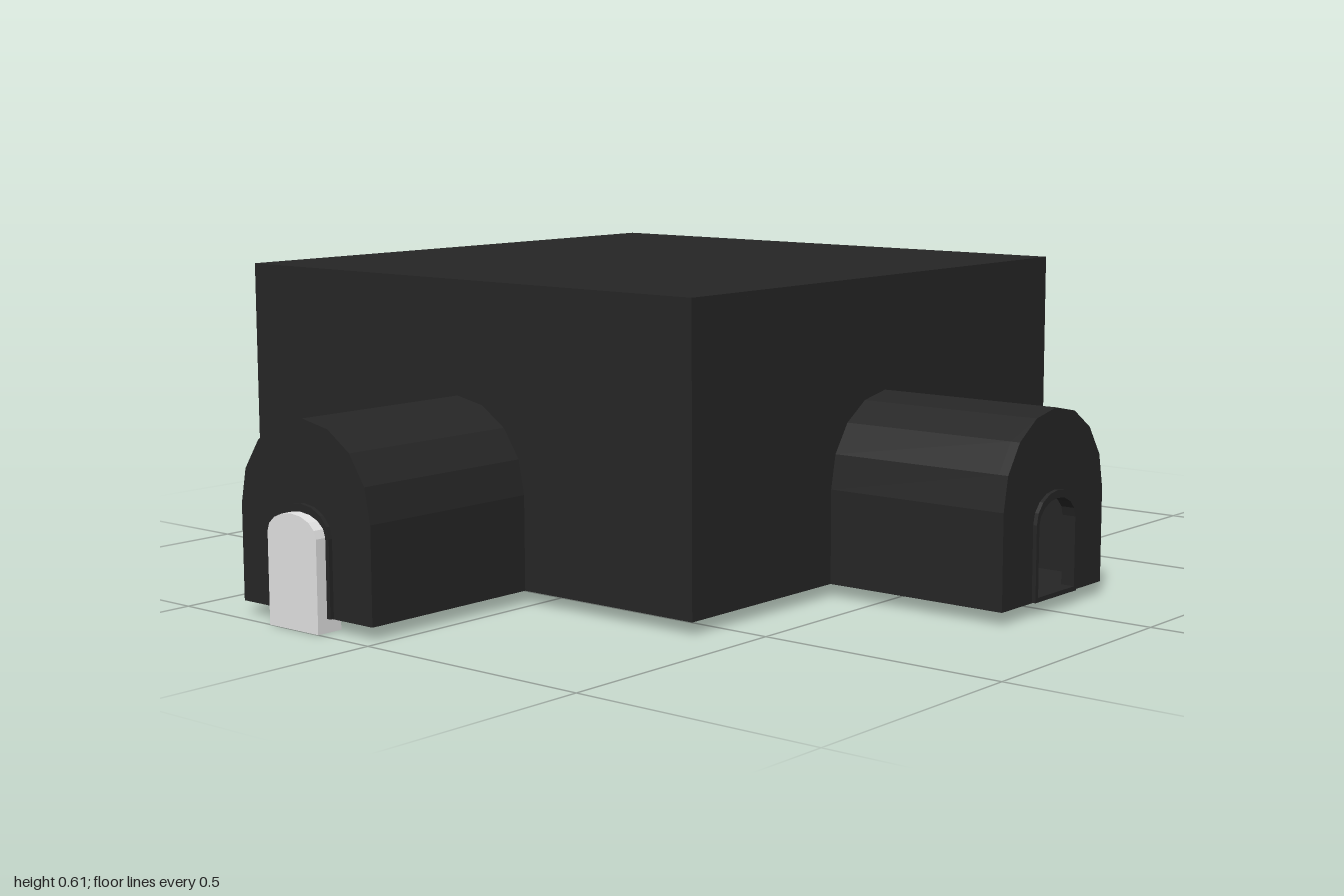
import * as THREE from 'three';

const dark = new THREE.MeshStandardMaterial({ color: 0x262626 });
dark.name = 'charcoal';
const pale = new THREE.MeshStandardMaterial({ color: 0xe2e2e2 });
pale.name = 'paleGrey';

const CX = -0.195, CZ = -0.01;           // room centre
const HALF = 0.59, BASE = 0.025, HEIGHT = 0.585, T = 0.01;
const LENGTH = 0.39;                     // tunnel length

// Straight-sided arch outline: half width, foot, springing height, rise of the curve
function archPoints(w, foot, spring, rise, segments = 8) {
  const pts = [new THREE.Vector2(-w, foot), new THREE.Vector2(w, foot)];
  for (let i = 0; i <= segments; i++) {
    const a = (Math.PI * i) / segments;
    pts.push(new THREE.Vector2(w * Math.cos(a), spring + rise * Math.sin(a)));
  }
  return pts;
}

const tunnelOuter = archPoints(0.175, 0, 0.185, 0.175);
const tunnelInner = archPoints(0.165, T, 0.185, 0.165);
const frameOuter = archPoints(0.073, 0.001, 0.148, 0.057);
const doorway = archPoints(0.064, T, 0.145, 0.045);

function extrude(name, outline, hole, depth, z, material = dark) {
  const shape = new THREE.Shape(outline);
  if (hole) shape.holes.push(new THREE.Path(hole));
  const geometry = new THREE.ExtrudeGeometry(shape, { depth, bevelEnabled: false });
  const mesh = new THREE.Mesh(geometry, material);
  mesh.name = name;
  mesh.position.z = z;
  return mesh;
}

function slab(name, y) {
  const mesh = new THREE.Mesh(new THREE.BoxGeometry(2 * HALF, T, 2 * HALF), dark);
  mesh.name = name;
  mesh.position.y = y + T / 2;
  return mesh;
}

// One wall, facing local +z, with an arched opening when a tunnel joins it
function wall(name, angle, open) {
  const h = Math.abs(Math.sin(angle)) > 0.5 ? HALF - T : HALF;
  const outline = [[-h, T], [h, T], [h, HEIGHT - T], [-h, HEIGHT - T]]
    .map(([x, y]) => new THREE.Vector2(x, y));
  const opening = archPoints(0.165, T + 0.001, 0.185, 0.165);
  const group = new THREE.Group();
  group.name = name;
  group.rotation.y = angle;
  group.add(extrude(name + 'Panel', outline, open ? opening : null, T, HALF - T));
  return group;
}

// Vaulted tunnel with an end wall and a raised doorway frame
function tunnel(name, angle) {
  const group = new THREE.Group();
  group.name = name;
  group.rotation.y = angle;
  group.add(
    extrude('vault', tunnelOuter, tunnelInner, LENGTH - 0.02, HALF),
    extrude('endWall', tunnelOuter, doorway, 0.02, HALF + LENGTH - 0.02),
    extrude('doorFrame', frameOuter, doorway, 0.008, HALF + LENGTH)
  );
  return group;
}

export function createModel() {
  const model = new THREE.Group();
  model.name = 'roomWithTunnels';

  const building = new THREE.Group();
  building.name = 'building';
  building.position.set(CX, BASE, CZ);
  building.add(slab('floor', 0), slab('roof', HEIGHT - T));

  const sides = [
    ['front', 0, true], ['left', Math.PI / 2, true],
    ['back', Math.PI, true], ['right', -Math.PI / 2, false],
  ];
  for (const [side, angle, open] of sides) {
    building.add(wall(side + 'Wall', angle, open));
    if (open) building.add(tunnel(side + 'Tunnel', angle));
  }
  model.add(building);

  // Pale door standing in the front doorway
  const door = extrude('frontDoor', archPoints(0.066, 0, 0.175, 0.04), null, 0.055, 0.945, pale);
  door.position.x = CX - 0.002;
  model.add(door);

  return model;
}
